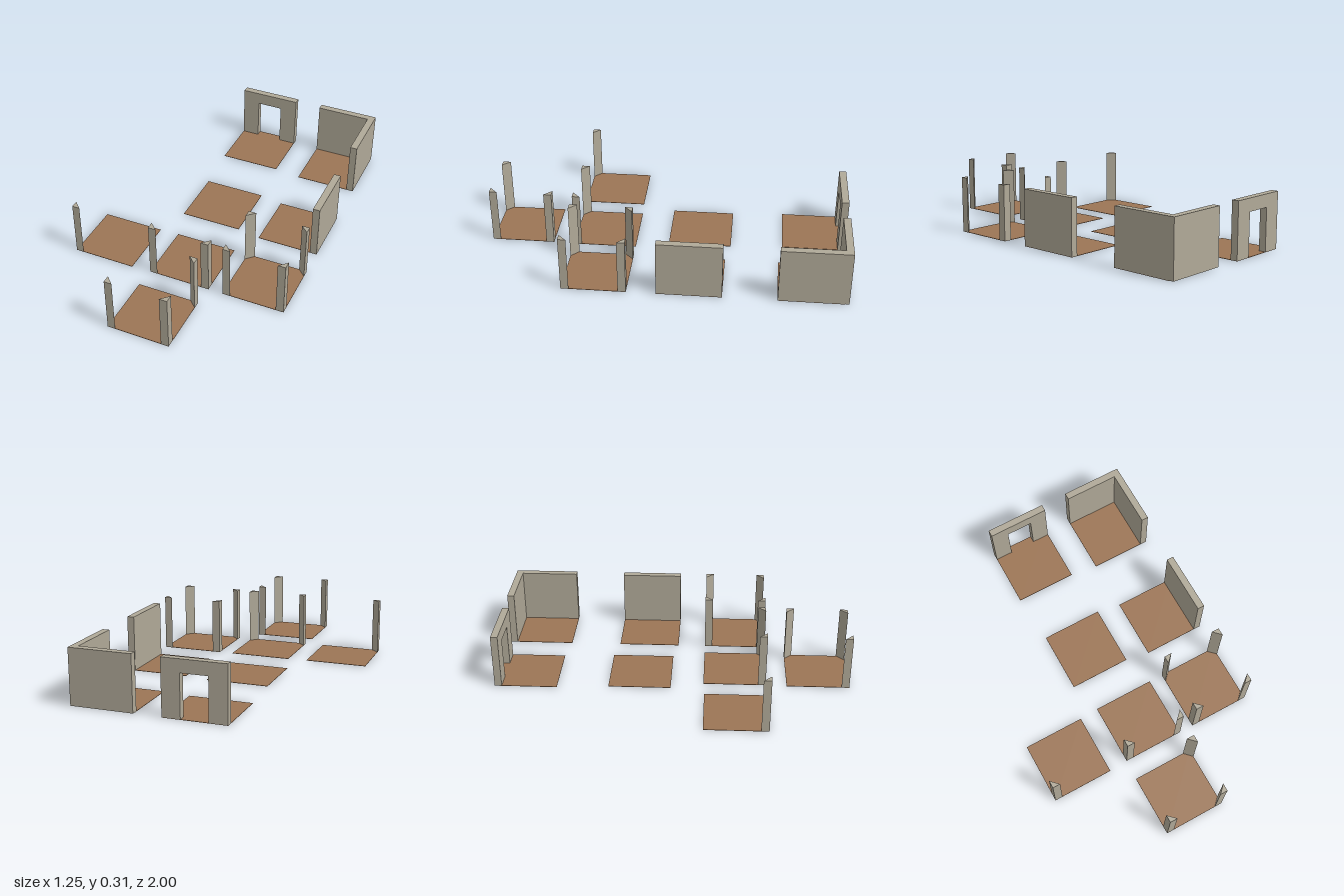
import * as THREE from 'three';

const SIZE = 0.352, HALF = SIZE / 2; // tile edge
const HEIGHT = 0.312, WALL = 0.04, POST = 0.044, FLOOR = 0.002;

const stone = new THREE.MeshStandardMaterial({ color: 0xb0a998 });
stone.name = 'stone';
const earth = new THREE.MeshStandardMaterial({ color: 0x9c7555 });
earth.name = 'earth';

function add(group, name, geometry, material, x = 0, y = 0, z = 0) {
  const mesh = new THREE.Mesh(geometry, material);
  mesh.name = name;
  mesh.position.set(x, y, z);
  group.add(mesh);
}

// Flat floor with its centre at x, z
function tile(root, name, x, z) {
  const group = new THREE.Group();
  group.name = name;
  group.position.set(x, 0, z);
  add(group, 'floor', new THREE.BoxGeometry(SIZE, FLOOR, SIZE), earth, 0, FLOOR / 2, 0);
  root.add(group);
  return group;
}

// Three-sided post filling one corner; sx and sz choose the corner
function cornerPost(group, sx, sz) {
  const shape = new THREE.Shape([
    new THREE.Vector2(sx * HALF, -sz * HALF),
    new THREE.Vector2(sx * (HALF - POST), -sz * HALF),
    new THREE.Vector2(sx * HALF, -sz * (HALF - POST)),
  ]);
  const geometry = new THREE.ExtrudeGeometry(shape, { depth: HEIGHT - FLOOR, bevelEnabled: false });
  geometry.rotateX(-Math.PI / 2);
  add(group, 'cornerPost', geometry, stone, 0, FLOOR, 0);
}

// Straight wall along the +x edge
function sideWall(group) {
  const h = HEIGHT - FLOOR;
  add(group, 'sideWall', new THREE.BoxGeometry(WALL, h, SIZE), stone, HALF - WALL / 2, FLOOR + h / 2, 0);
}

export function createModel() {
  const root = new THREE.Group();
  root.name = 'dungeonTiles';

  // Doorway tile: wall with an opening on the back edge
  const doorway = tile(root, 'doorwayTile', -0.063, -0.824);
  const door = 0.075, doorTop = 0.24;
  const outline = new THREE.Shape([
    [-HALF, FLOOR], [-door, FLOOR], [-door, doorTop], [door, doorTop],
    [door, FLOOR], [HALF, FLOOR], [HALF, HEIGHT], [-HALF, HEIGHT],
  ].map(([x, y]) => new THREE.Vector2(x, y)));
  add(doorway, 'doorwayWall', new THREE.ExtrudeGeometry(outline, { depth: WALL, bevelEnabled: false }),
    stone, 0, 0, -HALF);

  // Walled corner tile: the back wall straddles the floor edge
  const corner = tile(root, 'wallCornerTile', 0.445, -0.802);
  sideWall(corner);
  const h = HEIGHT - FLOOR;
  add(corner, 'backWall', new THREE.BoxGeometry(SIZE, h, WALL), stone, 0, FLOOR + h / 2, -0.178);

  // Plain floor and single-wall tile
  tile(root, 'plainTile', -0.042, -0.182);
  sideWall(tile(root, 'wallTile', 0.445, -0.157));

  // Tiles with one to four corner posts
  const posted = [
    ['onePostTile', -0.451, 0.36, [[-1, 1]]],
    ['twoPostTile', 0.011, 0.354, [[-1, 1], [1, 1]]],
    ['threePostTile', 0.005, 0.824, [[-1, 1], [1, 1], [1, -1]]],
    ['fourPostTile', 0.445, 0.354, [[-1, 1], [1, 1], [1, -1], [-1, -1]]],
  ];
  for (const [name, x, z, corners] of posted) {
    const group = tile(root, name, x, z);
    for (const [sx, sz] of corners) cornerPost(group, sx, sz);
  }
  return root;
}
